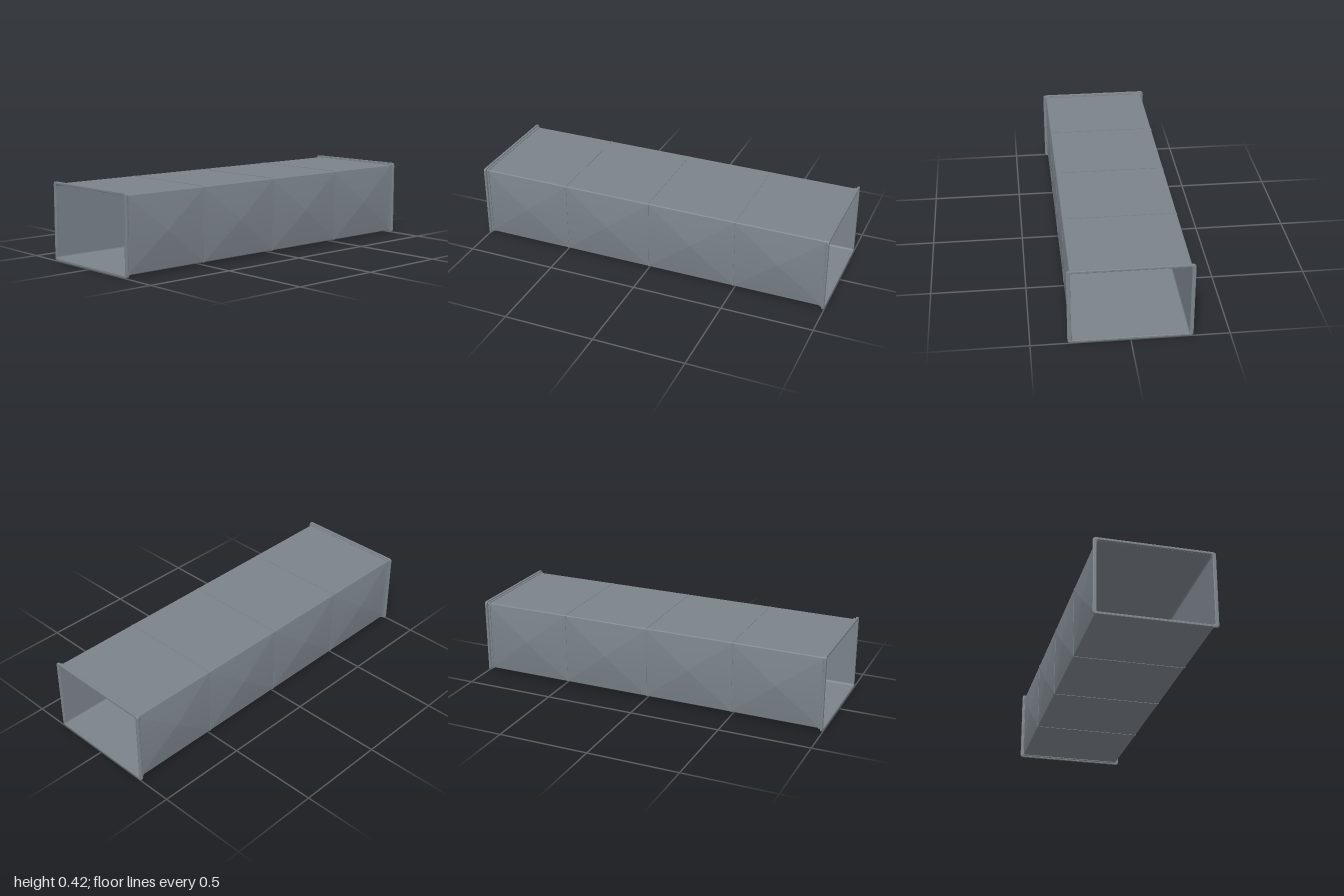
import * as THREE from 'three';

const material = new THREE.MeshStandardMaterial({ color: 0x7b838a, side: THREE.DoubleSide });
const MID_Y = 0.2105;

// Rounded rectangle centred on the duct axis
function roundedRect(path, halfW, halfH, r) {
  path.moveTo(-halfW + r, -halfH);
  path.lineTo(halfW - r, -halfH);
  path.absarc(halfW - r, -halfH + r, r, -Math.PI / 2, 0);
  path.lineTo(halfW, halfH - r);
  path.absarc(halfW - r, halfH - r, r, 0, Math.PI / 2);
  path.lineTo(-halfW + r, halfH);
  path.absarc(-halfW + r, halfH - r, r, Math.PI / 2, Math.PI);
  path.lineTo(-halfW, -halfH + r);
  path.absarc(-halfW + r, -halfH + r, r, Math.PI, Math.PI * 1.5);
  return path;
}

// Hollow rectangular frame of a given length along x
function frame(name, halfW, halfH, r, length, x, bevel = 0) {
  const shape = roundedRect(new THREE.Shape(), halfW - bevel, halfH - bevel, r);
  shape.holes.push(roundedRect(new THREE.Path(), 0.2955 + bevel, 0.1965 + bevel, 0.012));
  const depth = length - 2 * bevel;
  const geometry = new THREE.ExtrudeGeometry(shape, {
    depth, curveSegments: 5, bevelEnabled: bevel > 0,
    bevelSize: bevel, bevelThickness: bevel, bevelSegments: 2,
  });
  geometry.translate(0, 0, -depth / 2).rotateY(Math.PI / 2);
  const mesh = new THREE.Mesh(geometry, material);
  mesh.name = name;
  mesh.position.set(x, MID_Y, 0);
  return mesh;
}

// Shallow pyramid that stiffens one side of one section; its normals lean
// towards the top and bottom edges, with creases along the diagonals
function crossBrokenPanel(width, height, bulge) {
  const w = width / 2, h = height / 2;
  const corners = [[-w, -h, 0], [w, -h, 0], [w, h, 0], [-w, h, 0]];
  const facing = [[0, -1], [1, 0], [0, 1], [-1, 0]];
  const positions = [], normals = [];
  corners.forEach((corner, i) => {
    const [fx, fy] = facing[i];
    const next = corners[(i + 1) % 4];
    positions.push(...corner, ...next, 0, 0, bulge);
    for (const [, y] of [corner, next]) {
      normals.push(fx * 0.06, fy * 0.08 + Math.sign(y) * 0.08, 1);
    }
    normals.push(fx * 0.06, fy * 0.1, 1);
  });
  const geometry = new THREE.BufferGeometry();
  geometry.setAttribute('position', new THREE.Float32BufferAttribute(positions, 3));
  geometry.setAttribute('normal', new THREE.Float32BufferAttribute(normals, 3));
  geometry.normalizeNormals();
  return geometry;
}

export function createModel() {
  const duct = new THREE.Group();
  duct.name = 'rectangularDuct';
  const sections = 4, halfLength = 0.985;
  const step = (2 * halfLength) / sections;

  // Thin sheet-metal tube
  duct.add(frame('ductShell', 0.2985, 0.199, 0.008, 2 * halfLength, 0));

  // Bulged panels on the front and back of every section
  const panelGeometry = crossBrokenPanel(step - 0.006, 0.382, 0.0105);
  for (let i = 0; i < sections; i++) {
    for (const side of [1, -1]) {
      const panel = new THREE.Mesh(panelGeometry, material);
      panel.name = side > 0 ? 'frontPanel' : 'backPanel';
      panel.position.set(-halfLength + (i + 0.5) * step, MID_Y, side * 0.2988);
      if (side < 0) panel.rotation.y = Math.PI;
      duct.add(panel);
    }
  }

  // Fine seams between sections
  for (let i = 1; i < sections; i++) {
    duct.add(frame('sectionSeam', 0.3003, 0.2012, 0.009, 0.005, -halfLength + i * step));
  }

  // End flanges: a rounded lip with a low collar behind it
  for (const end of [-1, 1]) {
    duct.add(frame('endFlange', 0.315, 0.2105, 0.012, 0.013, end * 0.9935, 0.003));
    duct.add(frame('flangeCollar', 0.303, 0.203, 0.01, 0.014, end * 0.982));
  }
  return duct;
}
